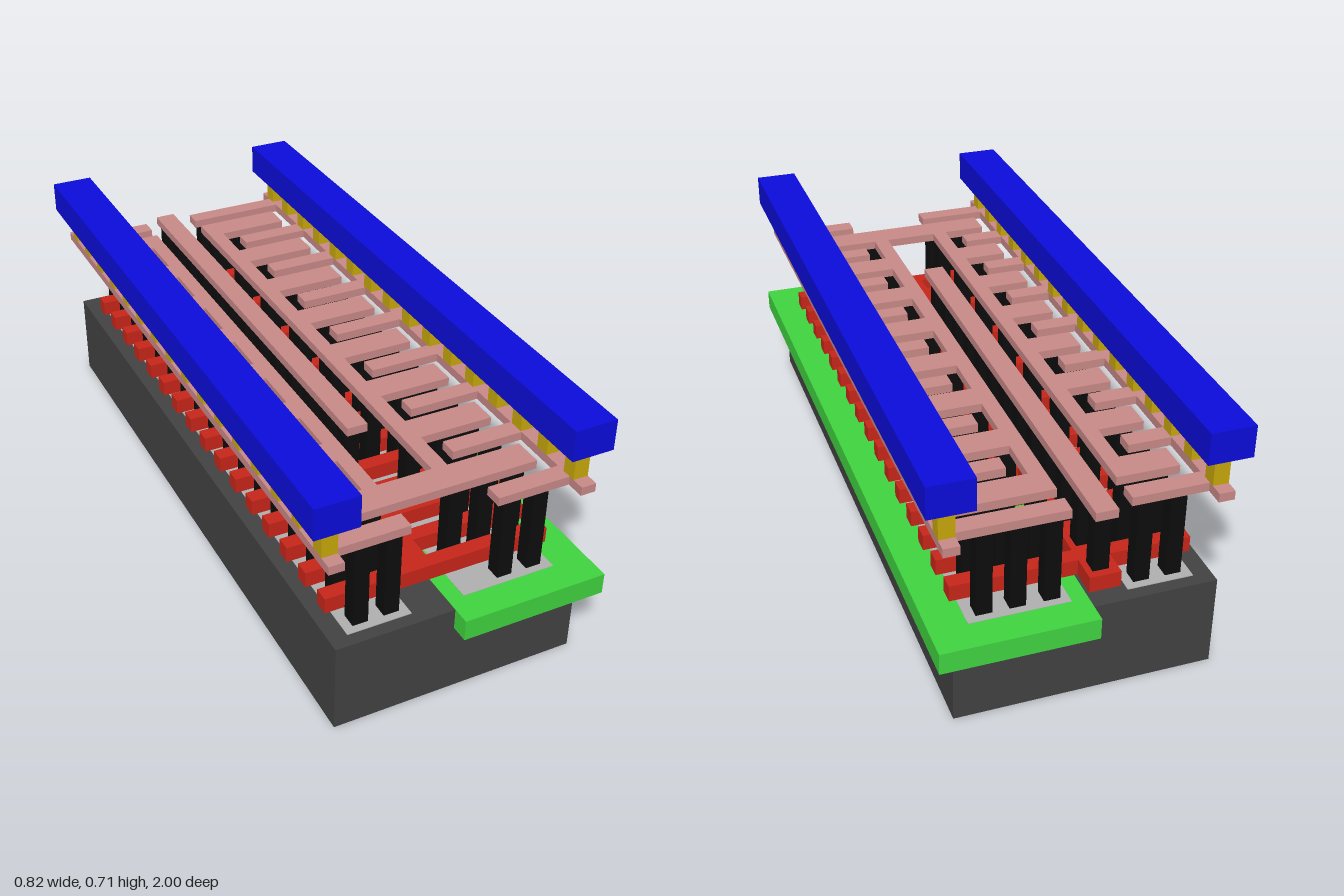
import * as THREE from 'three';

const material = (color) => new THREE.MeshStandardMaterial({ color });
const MAT = {
  substrate: material(0x424242),
  well: material(0x40d440),
  diffusion: material(0xb0b0b0),
  gate: material(0xc8261a),
  contact: material(0x0d0d0d),
  metal: material(0xc98a88),
  via: material(0xc8a80c),
  rail: material(0x0c0cdc),
};

// Box given by its limits on each axis
function block(parent, name, mat, [x0, x1], [y0, y1], [z0, z1]) {
  const mesh = new THREE.Mesh(new THREE.BoxGeometry(x1 - x0, y1 - y0, z1 - z0), mat);
  mesh.position.set((x0 + x1) / 2, (y0 + y1) / 2, (z0 + z1) / 2);
  mesh.name = name;
  parent.add(mesh);
}

export function createModel() {
  const model = new THREE.Group();
  model.name = 'layeredCircuitCell';
  const group = (name) => {
    const g = new THREE.Group();
    g.name = name;
    model.add(g);
    return g;
  };

  const PITCH = 0.109;
  const HALF = 0.0215; // half width of contacts, vias and gates
  const TOP = 0.26; // substrate surface
  const METAL = [0.502, 0.527];
  const around = (c, h = HALF) => [c - h, c + h];
  const column = (i) => (i - 8) * PITCH; // 17 contact columns along z

  // Substrate, well and active areas
  block(model, 'substrate', MAT.substrate, [-0.35, 0.35], [0, TOP], [-0.95, 0.95]);
  block(model, 'well', MAT.well, [-0.015, 0.4], [0.2, TOP + 0.001], [-1, 1]);
  const active = group('activeAreas');
  block(active, 'leftActiveArea', MAT.diffusion, [-0.3, -0.12], [0.22, TOP + 0.002], [-0.915, 0.915]);
  block(active, 'rightActiveArea', MAT.diffusion, [0.03, 0.3], [0.22, TOP + 0.002], [-0.915, 0.915]);

  // Gate fingers joined by a spine
  const gates = group('gates');
  const GATE = [0.278, 0.323];
  for (let i = 0; i < 16; i++) {
    block(gates, 'gateFinger', MAT.gate, [-0.324, 0.324], GATE, around(column(i + 0.5)));
  }
  block(gates, 'gateSpine', MAT.gate, [-0.1, -0.015], GATE, [-0.915, 0.83]);

  // Contact pillars and power stubs; even columns are sources, odd are drains
  const contacts = group('contacts');
  const metal = group('metalLayer');
  for (let i = 0; i < 17; i++) {
    const z = column(i);
    const source = i % 2 === 0;
    const end = i === 0 || i === 16;
    const xs = [-0.253, 0.164, 0.252];
    if (!source || end) xs.push(-0.166);
    if (!source || i === 0) xs.push(0.074);
    if (i < 13) xs.push(-0.053);
    for (const x of xs) block(contacts, 'contact', MAT.contact, around(x), [TOP, METAL[0]], around(z));
    if (source) {
      block(metal, 'leftStub', MAT.metal, [-0.33, end ? -0.124 : -0.21], METAL, around(z, 0.026));
      block(metal, 'rightStub', MAT.metal, [i === 0 ? 0.032 : 0.122, 0.33], METAL, around(z, 0.026));
    }
  }

  // Input strip over the gate spine
  block(metal, 'inputStrip', MAT.metal, [-0.075, -0.015], METAL, [-0.93, 0.47]);

  // Output net: two combs joined by a bar at the front
  const left = [];
  const right = [];
  for (let i = 1; i < 17; i += 2) {
    const [z0, z1] = around(column(i), 0.042);
    left.push([-0.165, z0], [-0.295, z0], [-0.295, z1]);
    right.push([0.08, z0], [0.295, z0], [0.295, z1]);
    if (i < 15) {
      left.push([-0.165, z1]);
      right.push([0.08, z1]);
    }
  }
  const zBack = column(1) - 0.042;
  const outline = [[-0.122, 0.72], [-0.122, zBack], ...left, ...right.reverse(), [0.035, zBack], [0.035, 0.72]];
  const output = new THREE.Mesh(
    new THREE.ExtrudeGeometry(new THREE.Shape(outline.map(([x, z]) => new THREE.Vector2(x, z))), {
      depth: METAL[1] - METAL[0],
      bevelEnabled: false,
    }),
    MAT.metal
  );
  output.rotation.x = Math.PI / 2;
  output.position.y = METAL[1];
  output.name = 'outputNet';
  metal.add(output);

  // Lower rails, vias and upper power rails on both sides
  const vias = group('vias');
  for (const s of [-1, 1]) {
    const side = s < 0 ? 'right' : 'left';
    block(metal, side + 'LowerRail', MAT.metal, around(s * 0.3515), METAL, [-0.95, 0.95]);
    for (let i = 0; i < 16; i++) {
      block(vias, 'via', MAT.via, around(s * 0.3515), [METAL[1], 0.617], around((i - 7.5) * 0.119));
    }
    block(model, side + 'PowerRail', MAT.rail, around(s * 0.3515, 0.061), [0.617, 0.707], [-0.95, 0.95]);
  }
  return model;
}
